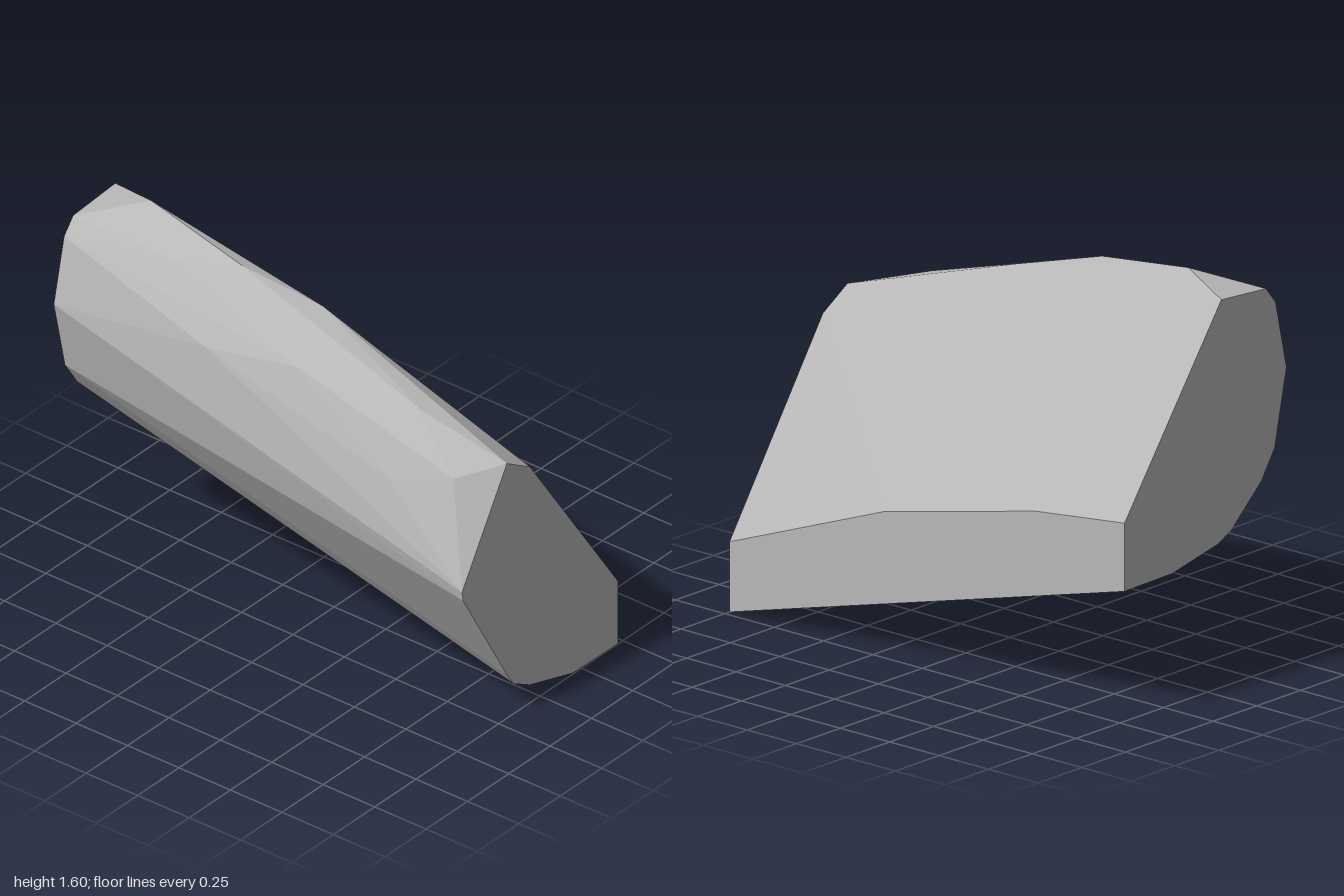
import * as THREE from 'three';
import { ConvexGeometry } from 'three/addons/geometries/ConvexGeometry.js';

// Outline of each end face, as [z, y]
const rightEnd = [
  [0.2, 1.145], [0.06, 1.06], [-0.473, 0.28], [-0.473, 0], [-0.2, 0.004],
  [0.06, 0.08], [0.16, 0.135], [0.2, 0.195], [0.465, 0.66], [0.472, 0.7],
];
const leftEnd = [
  [0.08, 1.545], [0.335, 1.527], [0.39, 1.46], [0.452, 1.185], [0.385, 0.88],
  [0.31, 0.767], [0.135, 0.61], [0.06, 0.575], [-0.2, 0.522], [-0.473, 0.518], [-0.473, 0.79],
];
// Corners between the ends, as [x, y, z]
const ridge = [
  [-0.76, 1.602, 0.16], [-0.28, 1.53, 0.212], [0.06, 1.445, 0.14], [0.62, 1.265, 0.255],
];
const frontFacets = [
  [-0.5, 1.5, 0.305], [0.12, 1.31, 0.37], [0.86, 1.095, 0.35],
  [-0.28, 1.27, 0.43], [0.6, 1.03, 0.42],
];
const backRim = [[0.22, 0.57, -0.473], [-0.55, 0.74, -0.473]];

export function createModel() {
  const group = new THREE.Group();
  group.name = 'rock';
  const stone = new THREE.MeshStandardMaterial({ color: 0xb8b8b8, flatShading: true });
  stone.name = 'stone grey';

  // Faceted boulder: convex skin over both ends and the corners between them
  const points = [
    ...rightEnd.map(([z, y]) => new THREE.Vector3(1, y, z)),
    ...leftEnd.map(([z, y]) => new THREE.Vector3(-1, y, z)),
    ...[...ridge, ...frontFacets, ...backRim].map((p) => new THREE.Vector3(...p)),
  ];
  const boulder = new THREE.Mesh(new ConvexGeometry(points), stone);
  boulder.name = 'boulder';
  group.add(boulder);
  return group;
}
